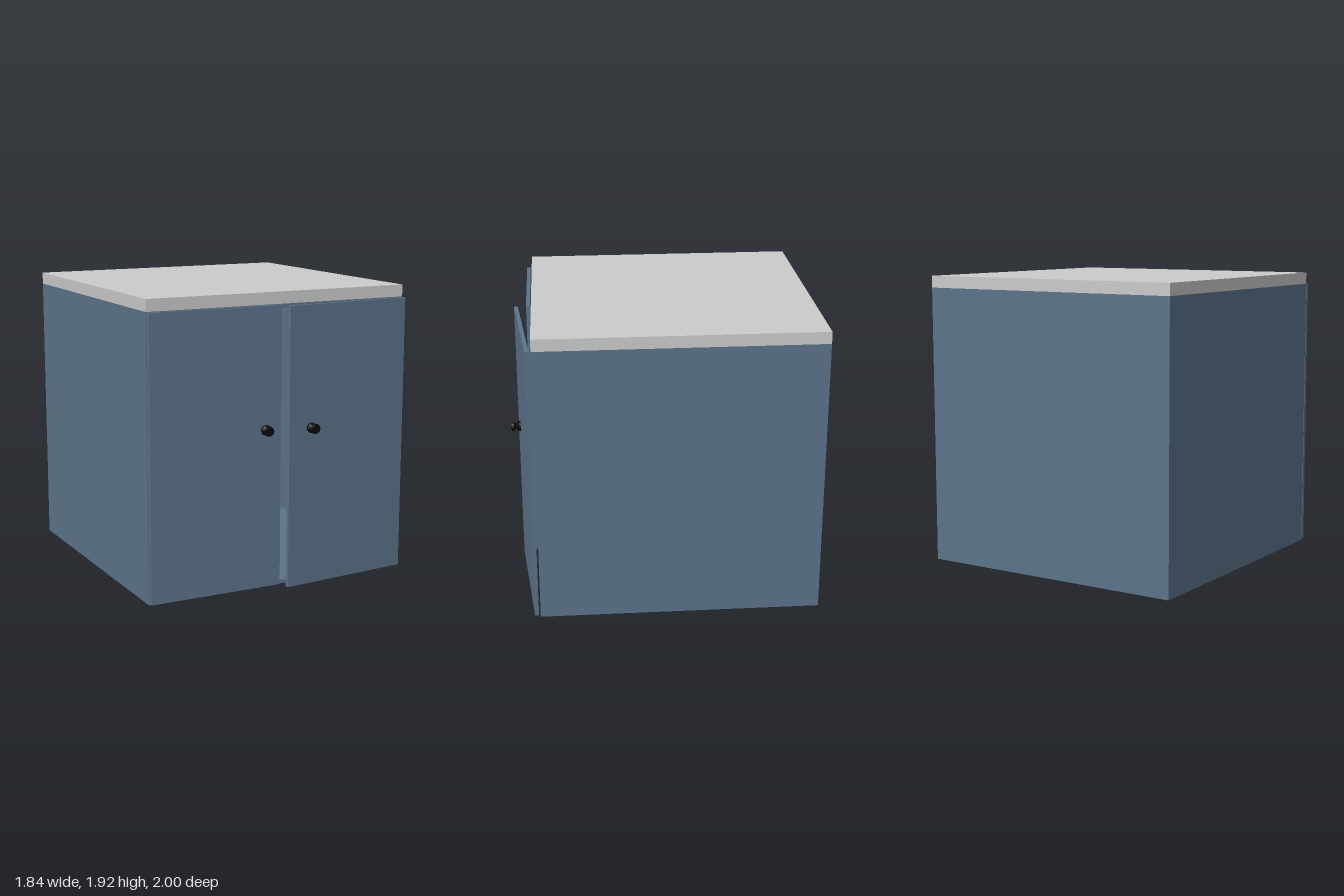
import * as THREE from 'three';

const paint = new THREE.MeshStandardMaterial({ color: 0x5c748b });
const grey = new THREE.MeshStandardMaterial({ color: 0xcccccc });
const black = new THREE.MeshStandardMaterial({ color: 0x0a0a0a, flatShading: true });

// Box given by its minimum and maximum corners
function box(name, min, max, material) {
  const size = max.map((v, i) => v - min[i]);
  const mesh = new THREE.Mesh(new THREE.BoxGeometry(...size), material);
  mesh.position.set(...max.map((v, i) => (v + min[i]) / 2));
  mesh.name = name;
  return mesh;
}

// Hourglass-shaped knob with its axis along z
function knob(name) {
  const profile = [[0, 0], [0.034, 0], [0.034, 0.012], [0.016, 0.03], [0.034, 0.046], [0.03, 0.06], [0, 0.06]];
  const geometry = new THREE.LatheGeometry(profile.map(([r, h]) => new THREE.Vector2(r, h)), 12);
  geometry.rotateX(Math.PI / 2);
  const mesh = new THREE.Mesh(geometry, black);
  mesh.name = name;
  return mesh;
}

// Door hinged at its outer edge; side is +1 (left) or -1 (right)
function door(name, side, angle, knobDistance) {
  const group = new THREE.Group();
  group.name = name;
  const far = -side * 0.912;
  group.add(box(name + 'Panel', [Math.min(0, far), 0.01, 0], [Math.max(0, far), 1.84, 0.026], paint));
  const handle = knob(name + 'Knob');
  handle.position.set(-side * knobDistance, 1.05, 0.026);
  group.add(handle);
  group.position.set(side * 0.918, 0, 0.851);
  group.rotation.y = side * angle;
  return group;
}

export function createModel() {
  const model = new THREE.Group();
  model.name = 'cabinet';

  // Open-fronted carcass
  const w = 0.92, t = 0.025, h = 1.842, back = -1, front = 0.84;
  const carcass = new THREE.Group();
  carcass.name = 'carcass';
  carcass.add(
    box('leftSide', [w - t, 0, back], [w, h, front], paint),
    box('rightSide', [-w, 0, back], [-w + t, h, front], paint),
    box('backPanel', [-w + t, 0, back], [w - t, h, back + t], paint),
    box('bottomPanel', [-w + t, 0, back + t], [w - t, t, front], paint),
    box('topPanel', [-w + t, h - t, back + t], [w - t, h, front], paint)
  );
  model.add(carcass);

  // Worktop
  model.add(box('worktop', [-w, h, back], [w, 1.92, front], grey));

  // Doors: the left one stands slightly ajar
  model.add(door('leftDoor', 1, 0.087, 0.745), door('rightDoor', -1, 0, 0.8));
  return model;
}
